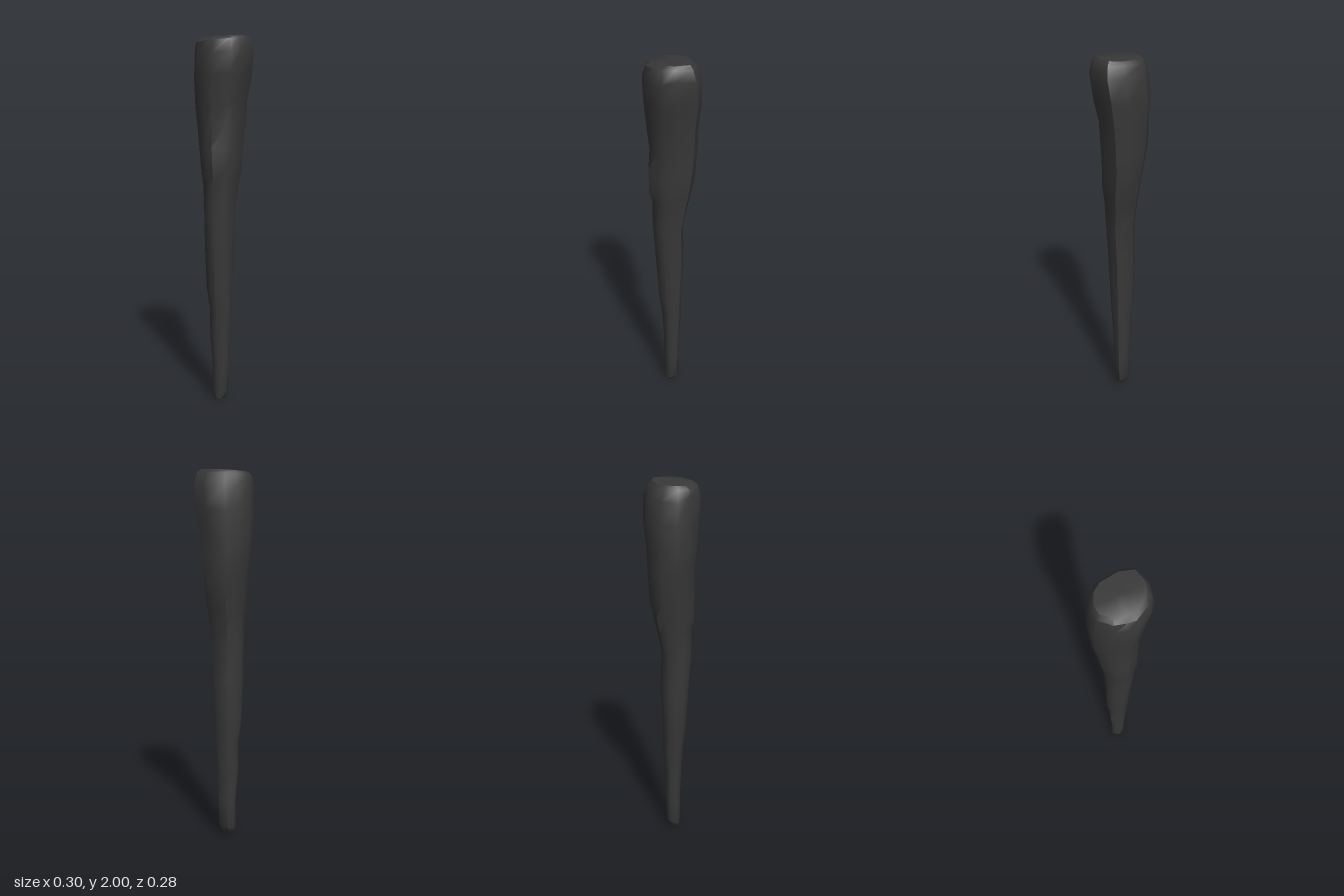
import * as THREE from 'three';
import { toCreasedNormals } from 'three/addons/utils/BufferGeometryUtils.js';

// Irregular cross-section, as fractions of each ring's half width and depth
const OUTLINE = [
  [1, -0.05], [0.86, -0.77], [0.33, -1], [-0.45, -0.9], [-0.8, -0.58], [-1, -0.05],
  [-0.98, 0.4], [-0.6, 0.82], [-0.2, 0.95], [0.1, 1], [0.65, 0.68], [0.88, 0.4],
];

// Rings from tip to head: y, min x, max x, min z, max z
const RINGS = [
  [0.01, -0.04, 0.005, -0.008, 0.036],
  [0.045, -0.06, 0.025, -0.036, 0.042],
  [0.2, -0.058, 0.03, -0.038, 0.044],
  [0.38, -0.07, 0.038, -0.044, 0.05],
  [0.53, -0.071, 0.046, -0.052, 0.058],
  [0.64, -0.087, 0.048, -0.054, 0.073],
  [0.9, -0.09, 0.057, -0.065, 0.09],
  [1.1, -0.093, 0.066, -0.06, 0.104],
  [1.24, -0.098, 0.077, -0.086, 0.105],
  [1.31, -0.107, 0.09, -0.105, 0.121],
  [1.42, -0.117, 0.09, -0.119, 0.121],
  [1.56, -0.142, 0.103, -0.13, 0.116],
  [1.66, -0.145, 0.11, -0.132, 0.128],
  [1.8, -0.153, 0.138, -0.147, 0.14],
  [1.92, -0.143, 0.153, -0.136, 0.147],
  [1.975, -0.13, 0.135, -0.112, 0.13],
  [1.992, -0.115, 0.12, -0.095, 0.1],
];

// Small repeatable random numbers in -1..1 for carved-looking dents
function seeded(seed) {
  return () => {
    seed = (seed * 16807) % 2147483647;
    return (seed / 2147483647) * 2 - 1;
  };
}

function shaftGeometry() {
  const rand = seeded(73);
  const n = OUTLINE.length;
  const positions = [];
  const index = [];

  RINGS.forEach(([y, x0, x1, z0, z1], r) => {
    const inner = r > 1 && r < RINGS.length - 2;
    for (const [u, v] of OUTLINE) {
      const dent = inner ? 1 - 0.03 * (1 + rand()) * (Math.hypot(u, v) > 1.02 ? 1 : 0.4) : 1;
      const x = (x0 + x1) / 2 + (u * dent * (x1 - x0)) / 2;
      const z = (z0 + z1) / 2 + (v * dent * (z1 - z0)) / 2;
      // The head slopes slightly down towards -x, the tip is cut at a slant
      let dy = inner ? 0.018 * rand() : 0;
      if (r >= RINGS.length - 2) dy = x * 0.07;
      if (r < 2) dy = -0.2 * (z - 0.02);
      positions.push(x, y + dy, z);
    }
  });

  // Sides
  for (let r = 0; r < RINGS.length - 1; r++) {
    for (let i = 0; i < n; i++) {
      const a = r * n + i;
      const b = r * n + ((i + 1) % n);
      index.push(a, b, b + n, a, b + n, a + n);
    }
  }

  // End caps
  const bottom = positions.length / 3;
  positions.push(-0.018, 0, 0.022);
  const top = bottom + 1;
  positions.push(0, 1.993, 0);
  const last = (RINGS.length - 1) * n;
  for (let i = 0; i < n; i++) {
    const j = (i + 1) % n;
    index.push(bottom, j, i, top, last + i, last + j);
  }

  const geometry = new THREE.BufferGeometry();
  geometry.setAttribute('position', new THREE.Float32BufferAttribute(positions, 3));
  geometry.setIndex(index);
  return toCreasedNormals(geometry, 0.75);
}

export function createModel() {
  const group = new THREE.Group();
  group.name = 'woodenClub';
  const material = new THREE.MeshStandardMaterial({ color: 0x383838 });
  const shaft = new THREE.Mesh(shaftGeometry(), material);
  shaft.name = 'clubShaft';
  group.add(shaft);
  return group;
}
